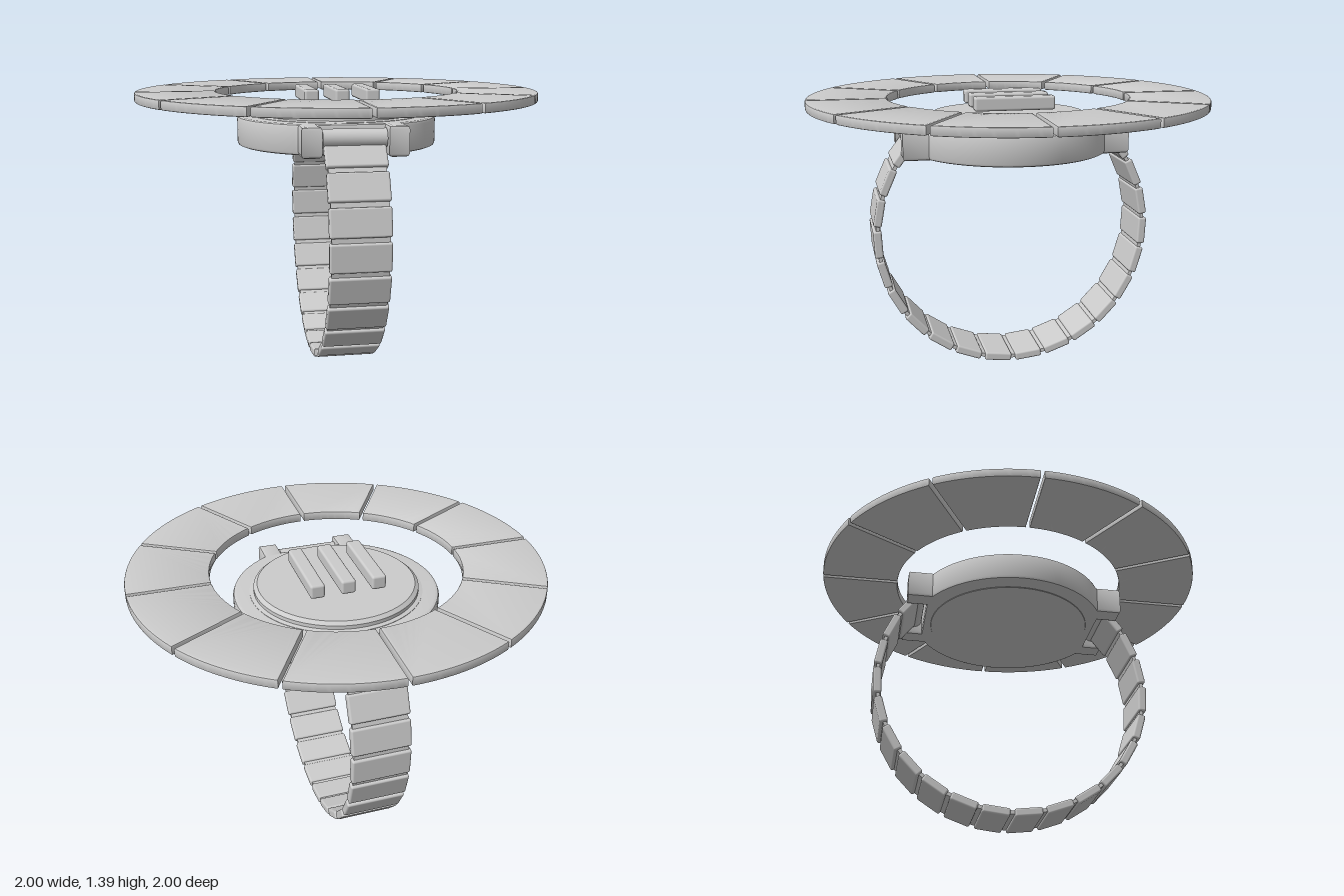
import * as THREE from 'three';
import { toCreasedNormals } from 'three/addons/utils/BufferGeometryUtils.js';
import { RoundedBoxGeometry } from 'three/addons/geometries/RoundedBoxGeometry.js';

const material = new THREE.MeshStandardMaterial({ color: 0xcccccc });

function add(parent, name, geometry, x = 0, y = 0, z = 0) {
  const mesh = new THREE.Mesh(geometry, material);
  mesh.name = name;
  mesh.position.set(x, y, z);
  parent.add(mesh);
  return mesh;
}

// Flat outline laid horizontally, base at y = 0, with chamfered rims
function slab(shape, height, bevel, curveSegments) {
  const g = new THREE.ExtrudeGeometry(shape, {
    depth: height - 2 * bevel, bevelThickness: bevel, bevelSize: bevel,
    bevelOffset: -bevel, bevelSegments: 2, curveSegments,
  });
  g.translate(0, 0, bevel);
  g.rotateX(-Math.PI / 2);
  return toCreasedNormals(g, 0.5);
}

// Round case outline with a pair of lugs at each end
function caseShape() {
  const r = 0.5, lugOut = 0.25, lugIn = 0.155, tip = 0.557, notch = 0.455;
  const a = Math.acos(lugOut / r);
  const s = new THREE.Shape();
  s.absarc(0, 0, r, -a, a, false);
  s.lineTo(lugOut, tip);
  s.lineTo(lugIn, tip);
  s.lineTo(lugIn, notch);
  s.lineTo(-lugIn, notch);
  s.lineTo(-lugIn, tip);
  s.lineTo(-lugOut, tip);
  s.absarc(0, 0, r, Math.PI - a, Math.PI + a, false);
  s.lineTo(-lugOut, -tip);
  s.lineTo(-lugIn, -tip);
  s.lineTo(-lugIn, -notch);
  s.lineTo(lugIn, -notch);
  s.lineTo(lugIn, -tip);
  s.lineTo(lugOut, -tip);
  return s;
}

// One ring segment with parallel-sided gaps to its neighbours
function segmentShape(inner, outer, angle, gap) {
  const a = Math.asin(gap / 2 / outer), b = Math.asin(gap / 2 / inner);
  const s = new THREE.Shape();
  s.absarc(0, 0, outer, a, angle - a, false);
  s.absarc(0, 0, inner, angle - b, b, true);
  return s;
}

export function createModel() {
  const model = new THREE.Group();
  model.name = 'wristwatch';

  // Case, raised dial and back plate
  add(model, 'case', slab(caseShape(), 0.145, 0.016, 32), 0, 1.11);
  const dial = [[0.42, 1.25], [0.42, 1.257], [0.4, 1.262], [0.4, 1.28], [0.382, 1.295], [0, 1.295]]
    .map(p => new THREE.Vector2(...p));
  add(model, 'dial', toCreasedNormals(new THREE.LatheGeometry(dial, 72), 0.4));
  add(model, 'backPlate', toCreasedNormals(new THREE.CylinderGeometry(0.42, 0.415, 0.01, 72), 0.5), 0, 1.112);

  // Bars holding the strap between the lugs
  for (const side of [1, -1]) {
    const pin = add(model, 'strapBar', toCreasedNormals(
      new THREE.CylinderGeometry(0.045, 0.045, 0.3, 24), 0.5), 0, 1.195, side * 0.502);
    pin.rotation.z = Math.PI / 2;
    add(model, 'lugPin', new THREE.CylinderGeometry(0.02, 0.02, 0.36, 16), 0, 1.195, side * 0.502)
      .rotation.z = Math.PI / 2;
  }

  // Strap of links round a circle, with thin joints between them
  const strap = new THREE.Group();
  strap.name = 'strap';
  strap.position.y = 0.71;
  model.add(strap);
  const step = THREE.MathUtils.degToRad(13.4), radius = 0.682;
  const link = new RoundedBoxGeometry(0.29, 0.042, 0.138, 2, 0.01);
  const joint = new THREE.BoxGeometry(0.27, 0.018, 0.06);
  const place = (name, geometry, a) => {
    const mesh = add(strap, name, geometry, 0, -radius * Math.cos(a), radius * Math.sin(a));
    mesh.rotation.x = -a;
  };
  for (let k = -10; k < 10; k++) place('strapLink', link, (k + 0.5) * step);
  for (let k = -10; k <= 10; k++) place('strapJoint', joint, k * step);

  // Floating ring of twelve segments
  const ring = new THREE.Group();
  ring.name = 'segmentRing';
  ring.position.y = 1.335;
  model.add(ring);
  const angle = Math.PI / 6;
  const segment = slab(segmentShape(0.605, 1, angle, 0.018), 0.045, 0.007, 16);
  for (let i = 0; i < 12; i++) {
    add(ring, 'ringSegment', segment).rotation.y = i * angle - 0.009;
  }

  // Three floating bars above the dial
  const bar = new RoundedBoxGeometry(0.07, 0.068, 0.4, 2, 0.012);
  for (const x of [-0.15, 0, 0.15]) add(model, 'displayBar', bar, x, 1.361, 0);

  return model;
}
